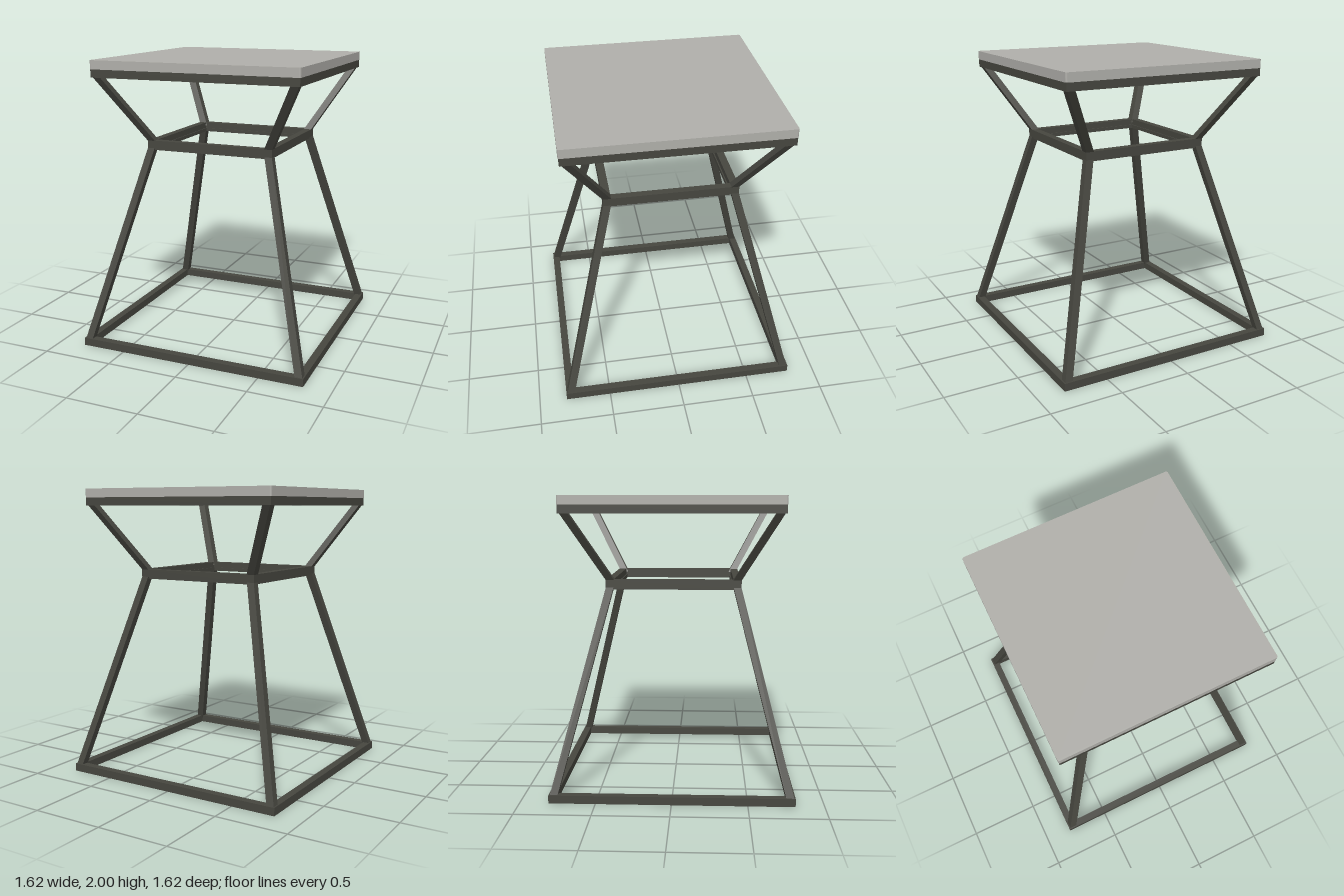
import * as THREE from 'three';

const frameMat = new THREE.MeshStandardMaterial({ name: 'dark metal', color: 0x46463f });
const seatMat = new THREE.MeshStandardMaterial({ name: 'light grey seat', color: 0xb0afaa });

// Square outline with half-width h, drawn in the XY plane
function square(Type, h) {
  return new Type([[-h, -h], [h, -h], [h, h], [-h, h]].map(([x, y]) => new THREE.Vector2(x, y)));
}

// Square ring of bar lying flat between heights y0 and y1
function ring(name, half, bar, y0, y1) {
  const shape = square(THREE.Shape, half);
  shape.holes.push(square(THREE.Path, half - bar));
  const geo = new THREE.ExtrudeGeometry(shape, { depth: y1 - y0, bevelEnabled: false });
  geo.rotateX(-Math.PI / 2).translate(0, y0, 0);
  const mesh = new THREE.Mesh(geo, frameMat);
  mesh.name = name;
  return mesh;
}

// Four upright square bars sheared from corner offset c0 at y0 to c1 at y1
function struts(name, bar, c0, y0, c1, y1) {
  const group = new THREE.Group();
  group.name = name + 's';
  for (const sx of [1, -1]) {
    for (const sz of [1, -1]) {
      const geo = new THREE.BoxGeometry(bar, y1 - y0, bar);
      const p = geo.attributes.position;
      for (let i = 0; i < p.count; i++) {
        const c = p.getY(i) > 0 ? c1 : c0;
        p.setX(i, p.getX(i) + sx * c);
        p.setZ(i, p.getZ(i) + sz * c);
      }
      geo.translate(0, (y0 + y1) / 2, 0);
      geo.computeVertexNormals();
      const mesh = new THREE.Mesh(geo, frameMat);
      mesh.name = name;
      group.add(mesh);
    }
  }
  return group;
}

// Flat square board with slightly rounded corners
function board(name, half, y0, y1, r, mat) {
  const s = new THREE.Shape();
  const k = half - r;
  s.absarc(k, k, r, 0, Math.PI / 2);
  s.absarc(-k, k, r, Math.PI / 2, Math.PI);
  s.absarc(-k, -k, r, Math.PI, Math.PI * 1.5);
  s.absarc(k, -k, r, Math.PI * 1.5, Math.PI * 2);
  const geo = new THREE.ExtrudeGeometry(s, { depth: y1 - y0, bevelEnabled: false, curveSegments: 3 });
  geo.rotateX(-Math.PI / 2).translate(0, y0, 0);
  const mesh = new THREE.Mesh(geo, mat);
  mesh.name = name;
  return mesh;
}

export function createModel() {
  const stool = new THREE.Group();
  stool.name = 'stool';
  stool.add(
    // Lower tapered stand
    ring('baseFrame', 0.81, 0.052, 0, 0.054),
    struts('leg', 0.052, 0.784, 0.02, 0.426, 1.4),
    ring('legTopFrame', 0.445, 0.05, 1.375, 1.4),
    // Waist and flared seat support
    ring('waistFrame', 0.455, 0.052, 1.388, 1.442),
    struts('seatSupport', 0.055, 0.416, 1.42, 0.692, 1.9),
    ring('seatFrame', 0.722, 0.052, 1.886, 1.94),
    // Seat and the dark panel beneath it
    board('underPanel', 0.68, 1.92, 1.939, 0.01, frameMat),
    board('seat', 0.726, 1.94, 2, 0.012, seatMat),
  );
  return stool;
}
